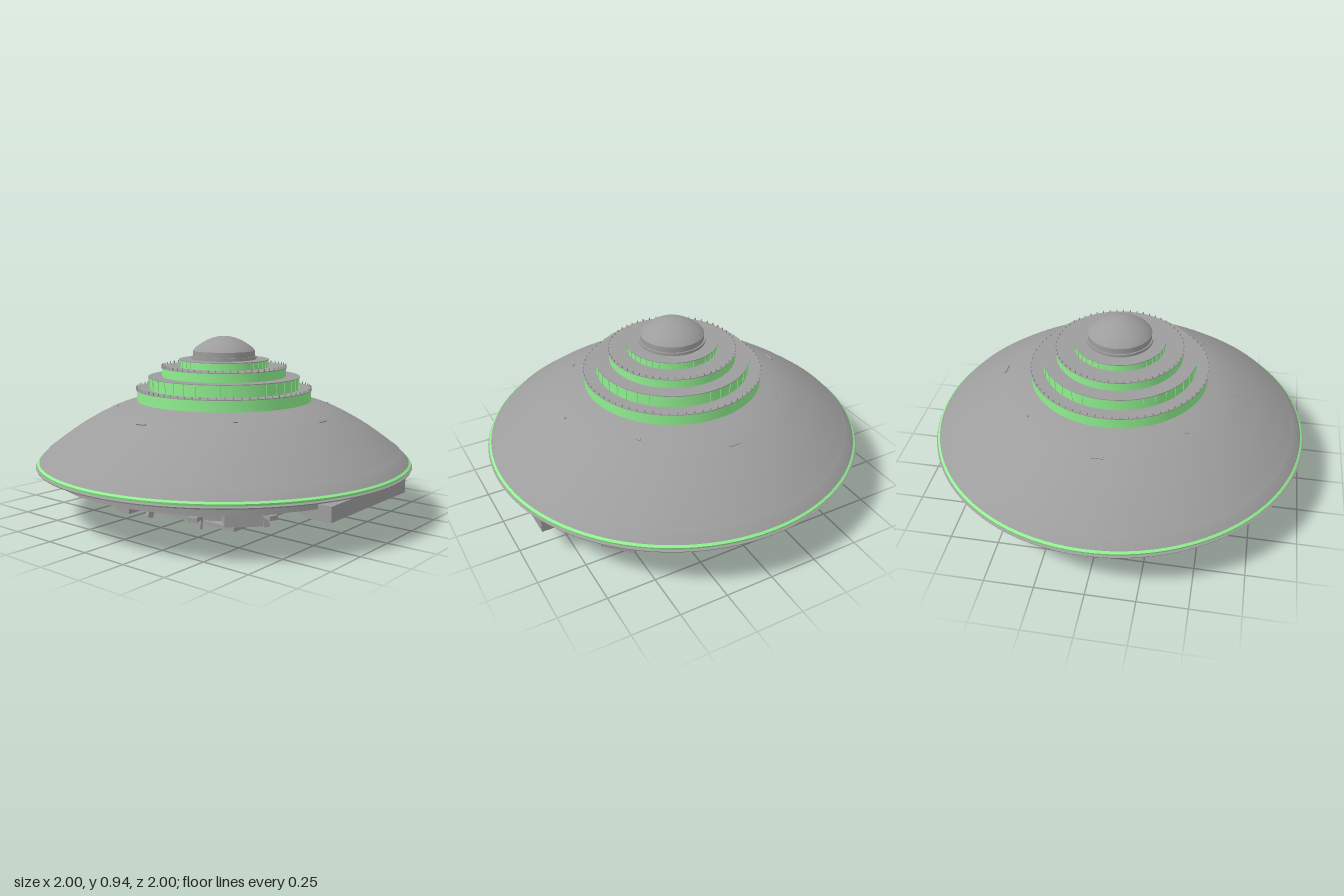
import * as THREE from 'three';
import { toCreasedNormals } from 'three/addons/utils/BufferGeometryUtils.js';

const grey = new THREE.MeshStandardMaterial({ color: 0x9d9d9d, side: THREE.DoubleSide });
const green = new THREE.MeshStandardMaterial({ color: 0x90f090, side: THREE.DoubleSide });

export function createModel() {
  const root = new THREE.Group();

  const add = (name, geometry, material = grey, parent = root) => {
    const mesh = new THREE.Mesh(geometry, material);
    mesh.name = name;
    parent.add(mesh);
    return mesh;
  };
  // Profile of [radius, height] pairs, listed from the bottom up
  const lathe = (name, profile, material, crease = 0.5) =>
    add(name, toCreasedNormals(new THREE.LatheGeometry(
      profile.map(([r, y]) => new THREE.Vector2(r, y)), 96), crease), material);
  const box = (name, w, h, d, x, y, z, parent) => {
    const mesh = add(name, new THREE.BoxGeometry(w, h, d), grey, parent);
    mesh.position.set(x, y, z);
    return mesh;
  };
  // Repeats a part around the vertical axis; each copy is built facing +z
  const around = (name, count, start, build) => {
    for (let i = 0; i < count; i++) {
      const arm = new THREE.Group();
      arm.name = name;
      arm.rotation.y = start + (i / count) * Math.PI * 2;
      build(arm);
      root.add(arm);
    }
  };
  // A ring of many equal small boxes
  const ring = (name, count, size, r, y, material) => {
    const mesh = new THREE.InstancedMesh(new THREE.BoxGeometry(...size), material, count);
    mesh.name = name;
    const m = new THREE.Matrix4();
    for (let k = 0; k < count; k++) {
      const a = (k / count) * Math.PI * 2;
      mesh.setMatrixAt(k, m.makeRotationY(a).setPosition(Math.sin(a) * r, y, Math.cos(a) * r));
    }
    root.add(mesh);
  };

  // Upper hull: lower band, then a smooth curve up to the foot of the tower
  const curve = new THREE.SplineCurve([[0.93, 0.342], [0.86, 0.395], [0.76, 0.463],
    [0.64, 0.53], [0.55, 0.568], [0.46, 0.595]].map(p => new THREE.Vector2(...p)));
  lathe('upperHull', curve.getPoints(32).map(p => [p.x, p.y]));
  lathe('hullBand', [[0.98, 0.292], [0.937, 0.338], [0.93, 0.342]]);
  lathe('rimLight', [[0.988, 0.274], [0.991, 0.284], [0.98, 0.292]], green);
  lathe('rim', [[0.9, 0.262], [0.995, 0.262], [0.998, 0.268], [0.988, 0.274]]);

  // Lower hull: ridged cone made of fine steps
  const under = [[0, 0.055], [0.42, 0.055]];
  const ridges = (r0, y0, r1, y1, n) => {
    for (let i = 0; i < n; i++) {
      const r = r0 + (r1 - r0) * (i / n), y = y0 + (y1 - y0) * ((i + 1) / n);
      under.push([r, y], [r + (r1 - r0) / n, y]);
    }
  };
  ridges(0.42, 0.055, 0.64, 0.125, 12);
  under.push([0.64, 0.14]);
  ridges(0.64, 0.14, 0.905, 0.21, 14);
  under.push([0.905, 0.262]);
  lathe('lowerHull', under);

  // Stepped tower: green walls with ribs, grey roofs, pegs along two edges
  const tiers = [[0.465, 0.59, 0.655, 72], [0.4, 0.655, 0.72, 0], [0.33, 0.72, 0.77, 56], [0.235, 0.77, 0.81, 0]];
  tiers.forEach(([r, y0, y1, pegs], i) => {
    const inner = i < 3 ? tiers[i + 1][0] : 0.16;
    lathe('tierWall', [[r, y0], [r, y1]], green);
    lathe('tierRoof', [[r, y1 - 0.004], [r + 0.004, y1 - 0.004], [r + 0.004, y1], [inner, y1]]);
    if (pegs) ring('edgePegs', pegs, [0.005, 0.014, 0.005], r, y1 + 0.005, grey);
    else ring('wallRibs', 40, [0.012, y1 - y0 - 0.006, 0.006], r, (y0 + y1) / 2, green);
  });

  // Cap dome
  lathe('capCollar', [[0.172, 0.81], [0.172, 0.825], [0.165, 0.825], [0.165, 0.855]]);
  lathe('capDome', [[0.165, 0.855], [0.15, 0.872], [0.125, 0.89], [0.095, 0.908], [0.06, 0.922], [0.03, 0.929], [0, 0.931]], grey, 1);

  // Small vents on the upper hull
  around('hullVent', 4, 0, arm => {
    box('vent', 0.06, 0.008, 0.012, 0, 0.54, 0.625, arm).rotation.x = 0.5;
  });
  around('smallVent', 4, Math.PI / 4, arm => {
    box('vent', 0.02, 0.008, 0.01, 0, 0.564, 0.565, arm).rotation.x = 0.4;
  });

  // Underside pods: wide front bay, four forked corner pods, four inner pods
  box('frontBay', 0.7, 0.075, 0.15, 0, 0.195, 0.83, root);
  around('cornerPod', 4, Math.PI / 4, arm => {
    for (const side of [-1, 1]) box('podProng', 0.05, 0.08, 0.2, side * 0.06, 0.195, 0.8, arm);
    box('podEnd', 0.07, 0.08, 0.08, 0, 0.195, 0.86, arm);
    box('podNeck', 0.06, 0.05, 0.1, 0, 0.175, 0.67, arm);
  });
  around('innerPod', 4, 0, arm => box('pod', 0.09, 0.04, 0.17, 0, 0.153, 0.675, arm));

  // Landing gear: eight short struts, each with a leg
  around('landingGear', 8, Math.PI / 8, arm => {
    box('strut', 0.045, 0.025, 0.17, 0, 0.068, 0.44, arm);
    box('leg', 0.035, 0.075, 0.03, 0, 0.036, 0.435, arm).rotation.x = -0.25;
  });

  // Square base plate with a square opening and a smaller frame inside it
  const square = (s, Type) => {
    const p = new Type();
    p.moveTo(-s, -s); p.lineTo(s, -s); p.lineTo(s, s); p.lineTo(-s, s); p.closePath();
    return p;
  };
  const frame = (name, outer, inner, y, depth) => {
    const shape = square(outer, THREE.Shape);
    shape.holes.push(square(inner, THREE.Path));
    const mesh = add(name, new THREE.ExtrudeGeometry(shape, { depth, bevelEnabled: false }));
    mesh.rotation.x = -Math.PI / 2;
    mesh.position.y = y;
  };
  frame('basePlate', 0.36, 0.13, 0.01, 0.02);
  frame('innerFrame', 0.09, 0.07, 0.025, 0.03);
  lathe('baseRing', [[0.34, 0.03], [0.39, 0.03], [0.39, 0.055]]);

  return root;
}
